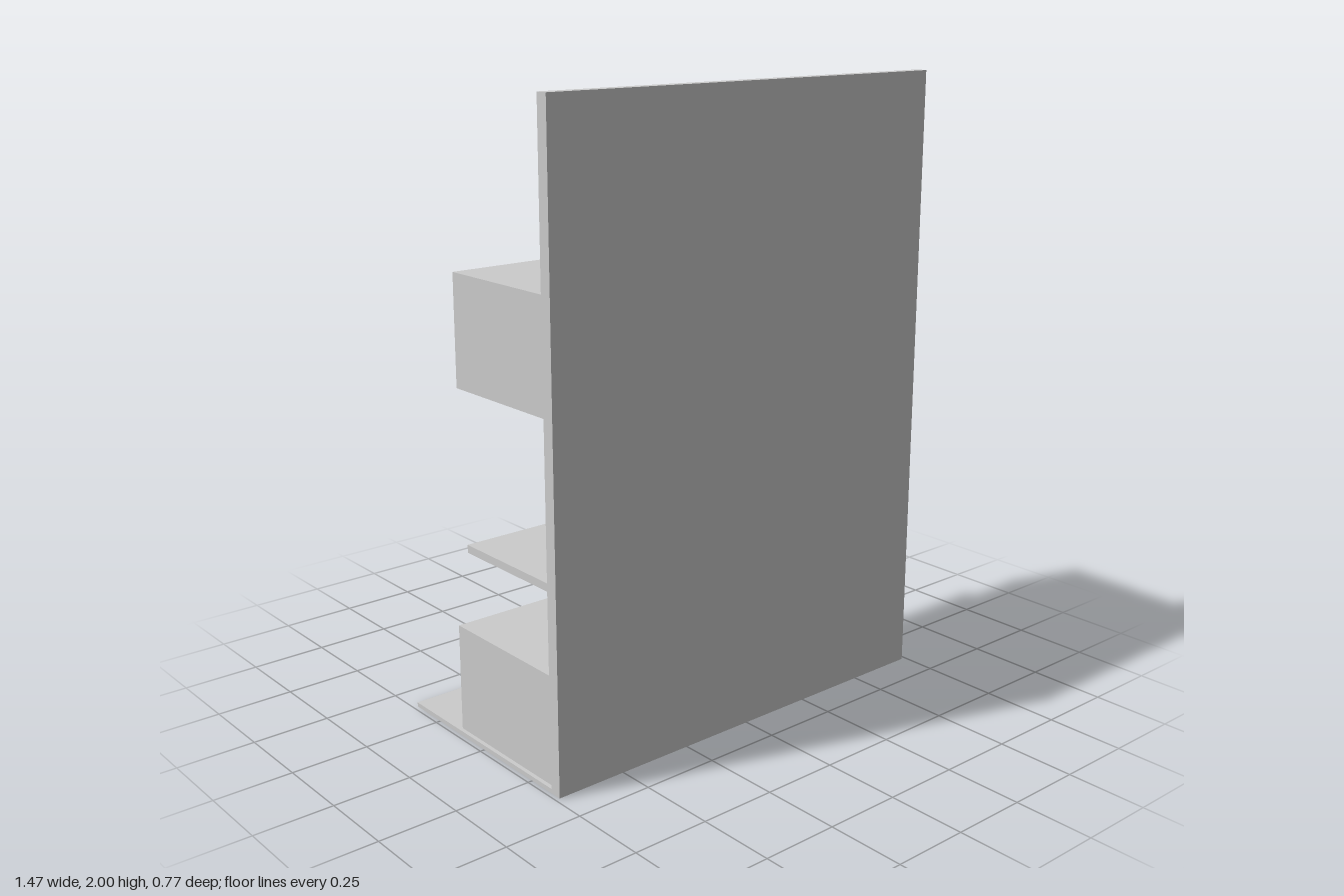
import * as THREE from 'three';

const material = new THREE.MeshStandardMaterial({ color: 0xcccccc });

export function createModel() {
  const model = new THREE.Group();
  model.name = 'wallShelfUnit';

  const add = (parent, name, geometry) => {
    const mesh = new THREE.Mesh(geometry, material);
    mesh.name = name;
    parent.add(mesh);
    return mesh;
  };

  // Box given by its lower and upper bounds
  const box = (parent, name, x0, x1, y0, y1, z0, z1) => {
    const mesh = add(parent, name, new THREE.BoxGeometry(x1 - x0, y1 - y0, z1 - z0));
    mesh.position.set((x0 + x1) / 2, (y0 + y1) / 2, (z0 + z1) / 2);
    return mesh;
  };

  const W = 0.735; // half width of the unit
  const wall = 0.345; // inner face of the wall panel

  // Wall panel and floor board
  box(model, 'wallPanel', -W, W, 0, 2, wall, 0.385);
  box(model, 'floorBoard', -W, W, 0, 0.014, -0.385, wall);

  // Cabinet: open frame with four sliding doors, the middle pair further out
  const cabinet = (name, y0, y1, z0) => {
    const group = new THREE.Group();
    group.name = name;
    model.add(group);
    const w = 0.722, t = 0.024;
    box(group, 'cabinetTop', -w, w, y1 - t, y1, z0, wall);
    box(group, 'cabinetBottom', -w, w, y0, y0 + t, z0, wall);
    for (const s of [-1, 1]) {
      const x = s * (w - t / 2);
      box(group, 'cabinetSide', x - t / 2, x + t / 2, y0 + t, y1 - t, z0, wall);
    }
    const inner = w - t;
    const yMid = (y0 + y1) / 2;
    const pulls = [-0.662, -0.043, 0.043, 0.662];
    pulls.forEach((px, i) => {
      const middle = i === 1 || i === 2;
      const x0 = -inner + (i * inner) / 2;
      const face = z0 + (middle ? 0.008 : 0.02);
      box(group, 'slidingDoor', x0, x0 + inner / 2, y0 + t, y1 - t, face, face + 0.012);
      // Round finger pull
      const ring = add(group, 'doorPull', new THREE.TorusGeometry(0.01, 0.0025, 6, 20));
      ring.position.set(px, yMid, face);
    });
  };
  cabinet('lowerCabinet', 0.014, 0.36, -0.14);
  cabinet('upperCabinet', 1.12, 1.465, -0.105);

  // Staggered shelves
  const shelfFront = -0.055;
  box(model, 'lowerShelf', -W, 0.1, 0.625, 0.65, shelfFront, wall);

  // Upper shelf: profile with an upturned lip at its inner end
  const profile = new THREE.Shape();
  profile.moveTo(W, 0.78);
  profile.lineTo(W, 0.803);
  profile.lineTo(0.1, 0.803);
  profile.quadraticCurveTo(0.05, 0.803, 0.036, 0.83);
  profile.lineTo(0.026, 0.83);
  profile.quadraticCurveTo(0.032, 0.795, 0.05, 0.78);
  profile.closePath();
  const shelf = new THREE.ExtrudeGeometry(profile, {
    depth: wall - shelfFront, bevelEnabled: false, curveSegments: 8,
  });
  add(model, 'upperShelf', shelf).position.z = shelfFront;

  // Strut joining the two shelves
  box(model, 'shelfStrut', 0.056, 0.08, 0.65, 0.78, 0.138, 0.162);

  return model;
}
